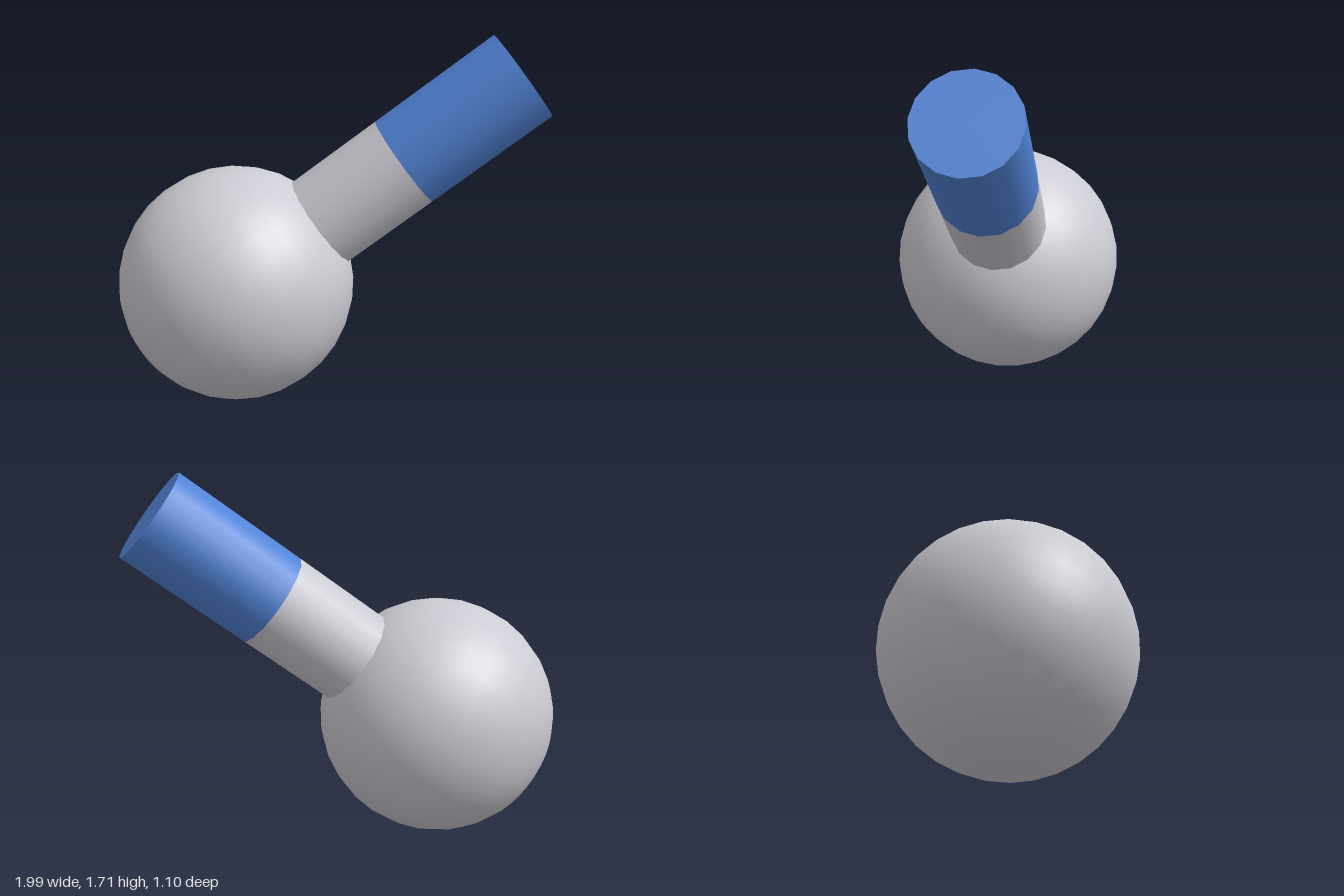
import * as THREE from 'three';

export function createModel() {
  const model = new THREE.Group();
  model.name = 'ballWithHandle';

  const grey = new THREE.MeshStandardMaterial({ color: 0xcbcbd3 });
  grey.name = 'light grey';
  const blue = new THREE.MeshStandardMaterial({ color: 0x5283d6 });
  blue.name = 'blue';

  // Everything is built along +y from the ball's centre, then tilted as one
  const tilted = new THREE.Group();
  tilted.name = 'tiltedBody';
  tilted.position.set(-0.45, 0.55, 0);
  const axis = new THREE.Vector3(1.308, 0.978, -0.06).normalize();
  tilted.quaternion.setFromUnitVectors(new THREE.Vector3(0, 1, 0), axis);
  model.add(tilted);

  const add = (name, geometry, material, y = 0) => {
    const mesh = new THREE.Mesh(geometry, material);
    mesh.name = name;
    mesh.position.y = y;
    tilted.add(mesh);
  };
  const radius = 0.228, sides = 16;
  const rod = (name, from, to, material, open) =>
    add(name, new THREE.CylinderGeometry(radius, radius, to - from, sides, 1, open), material, (from + to) / 2);

  // Ball
  add('ball', new THREE.SphereGeometry(0.55, 32, 16), grey);
  // Neck, rooted inside the ball, and the coloured grip with its end cap
  rod('neck', 0.4, 0.974, grey, true);
  rod('grip', 0.974, 1.634, blue, false);

  return model;
}
